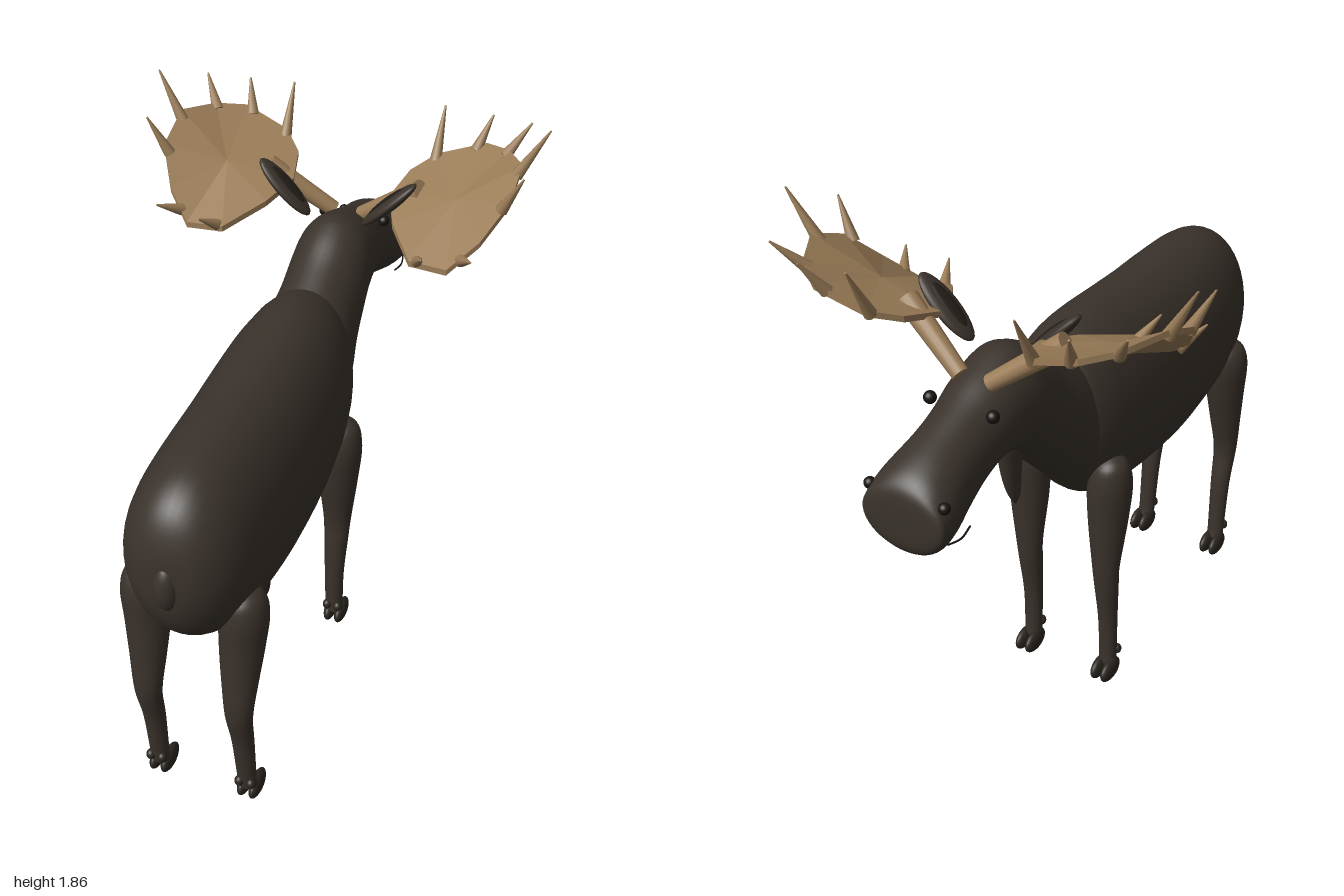
import * as THREE from 'three';

const mat = (name, color) => {
  const m = new THREE.MeshStandardMaterial({ color });
  m.name = name;
  return m;
};

// Smooth Catmull-Rom blend between rows of numbers
function blend(rows, steps) {
  const out = [];
  const at = (i) => rows[Math.min(Math.max(i, 0), rows.length - 1)];
  for (let i = 0; i < rows.length - 1; i++) {
    for (let k = 0; k < steps; k++) {
      const t = k / steps;
      out.push(rows[i].map((_, j) => {
        const [a, b, c, d] = [at(i - 1)[j], at(i)[j], at(i + 1)[j], at(i + 2)[j]];
        return b + 0.5 * t * (c - a + t * (2 * a - 5 * b + 4 * c - d + t * (3 * (b - c) + d - a)));
      }));
    }
  }
  out.push(rows[rows.length - 1]);
  return out;
}

// Skin of elliptical sections [position, x, centre, radiusX, radius2],
// stacked along falling z or falling y
function loft(sections, axis, sides = 32, steps = 5) {
  const rows = blend(sections, steps);
  const pos = [], index = [];
  rows.forEach(([p, x, c, rx, r2], i) => {
    for (let j = 0; j < sides; j++) {
      const a = (j / sides) * Math.PI * 2;
      const px = x + Math.max(rx, 0) * Math.cos(a);
      const q = Math.max(r2, 0) * Math.sin(a);
      if (axis === 'z') pos.push(px, c + q, p);
      else pos.push(px, p, c - q);
      if (i < rows.length - 1) {
        const n = (j + 1) % sides, u = i * sides, v = u + sides;
        index.push(u + j, v + j, u + n, v + j, v + n, u + n);
      }
    }
  });
  const g = new THREE.BufferGeometry();
  g.setAttribute('position', new THREE.Float32BufferAttribute(pos, 3));
  g.setIndex(index);
  g.computeVertexNormals();
  return g;
}

// Body rows given as [z, top, bottom, half width]
const trunk = (rows) =>
  loft(rows.map(([z, t, b, w]) => [z, 0, (t + b) / 2, w, (t - b) / 2]), 'z', 40);

// Tapered round bar between two points
function bar(from, to, r0, r1, sides = 12) {
  const a = new THREE.Vector3(...from), b = new THREE.Vector3(...to);
  const dir = b.clone().sub(a);
  const g = new THREE.CylinderGeometry(r1, r0, dir.length(), sides);
  g.applyQuaternion(new THREE.Quaternion().setFromUnitVectors(
    new THREE.Vector3(0, 1, 0), dir.normalize()));
  const m = a.add(b).multiplyScalar(0.5);
  return g.translate(m.x, m.y, m.z);
}

const ellipsoid = (rx, ry, rz) => new THREE.SphereGeometry(1, 24, 16).scale(rx, ry, rz);

// Antler palm: cupped plate fanned from its middle, with a rim
function palmGeometry(outline, centre, s) {
  const pos = [];
  const tri = (...pts) => {
    if (s < 0) pts.reverse();
    for (const [x, y, z] of pts) pos.push(x * s, y, z);
  };
  const low = ([x, y, z], d) => [x, y - d, z];
  const under = low(centre, 0.035);
  outline.forEach((p, i) => {
    const q = outline[(i + 1) % outline.length];
    const pl = low(p, 0.02), ql = low(q, 0.02);
    tri(centre, q, p);
    tri(under, pl, ql);
    tri(p, q, pl);
    tri(q, ql, pl);
  });
  const g = new THREE.BufferGeometry();
  g.setAttribute('position', new THREE.Float32BufferAttribute(pos, 3));
  g.computeVertexNormals();
  return g;
}

export function createModel() {
  const fur = mat('dark brown fur', 0x3a322b);
  const horn = mat('antler tan', 0x9b7d58);
  const hoofMat = mat('hoof', 0x2c2620);
  const black = mat('eye and mouth black', 0x17130f);
  const earMat = mat('inner ear', 0x241e19);

  const model = new THREE.Group();
  model.name = 'moose';
  const add = (parent, name, geo, material, x = 0, y = 0, z = 0) => {
    const m = new THREE.Mesh(geo, material);
    m.name = name;
    m.position.set(x, y, z);
    parent.add(m);
    return m;
  };

  // Barrel body, from rump to shoulder
  add(model, 'body', trunk([
    [0.98, 1.06, 1.06, 0], [0.97, 1.17, 0.95, 0.075], [0.93, 1.27, 0.855, 0.135],
    [0.86, 1.33, 0.775, 0.18], [0.76, 1.358, 0.72, 0.205], [0.6, 1.365, 0.685, 0.22],
    [0.4, 1.367, 0.66, 0.225], [0.2, 1.377, 0.67, 0.225], [0.05, 1.388, 0.69, 0.217],
    [-0.05, 1.388, 0.715, 0.205], [-0.13, 1.377, 0.775, 0.188], [-0.2, 1.345, 0.88, 0.15],
    [-0.24, 1.22, 1.0, 0.07], [-0.25, 1.1, 1.1, 0],
  ]), fur);

  // Neck, head and muzzle
  add(model, 'neckAndHead', trunk([
    [0.05, 1.15, 0.95, 0], [0, 1.22, 0.85, 0.12], [-0.1, 1.3, 0.76, 0.165],
    [-0.2, 1.348, 0.85, 0.163], [-0.3, 1.398, 0.95, 0.147], [-0.4, 1.457, 1.05, 0.14],
    [-0.48, 1.48, 1.12, 0.135], [-0.6, 1.445, 1.15, 0.125], [-0.7, 1.402, 1.122, 0.115],
    [-0.8, 1.365, 1.078, 0.12], [-0.9, 1.33, 1.045, 0.137], [-0.965, 1.295, 1.045, 0.14],
    [-0.995, 1.25, 1.085, 0.122], [-0.999, 1.17, 1.17, 0],
  ]), fur);

  add(model, 'tail', ellipsoid(0.04, 0.085, 0.045), fur, 0, 1.05, 0.955);

  // Hanging throat flap
  add(model, 'dewlap', loft([
    [1.2, 0, -0.44, 0, 0], [1.14, 0, -0.44, 0.035, 0.058], [1.06, 0, -0.443, 0.033, 0.047],
    [0.98, 0, -0.437, 0.026, 0.035], [0.92, 0, -0.427, 0.018, 0.021], [0.88, 0, -0.422, 0, 0],
  ], 'y', 20), fur);

  // Leg rows: [y, x, z, radius x, radius z]
  const legs = {
    frontLeg: [
      [0.94, 0.165, -0.1, 0, 0], [0.91, 0.165, -0.1, 0.052, 0.055],
      [0.83, 0.16, -0.098, 0.075, 0.074], [0.7, 0.155, -0.1, 0.071, 0.066],
      [0.5, 0.153, -0.11, 0.05, 0.042], [0.4, 0.153, -0.104, 0.043, 0.039],
      [0.25, 0.153, -0.092, 0.035, 0.031], [0.1, 0.155, -0.092, 0.032, 0.028],
      [0.06, 0.156, -0.095, 0.03, 0.027], [0.05, 0.156, -0.095, 0, 0],
    ],
    hindLeg: [
      [0.95, 0.16, 0.78, 0, 0], [0.92, 0.16, 0.78, 0.055, 0.06],
      [0.85, 0.16, 0.783, 0.076, 0.078], [0.73, 0.155, 0.793, 0.072, 0.067],
      [0.6, 0.153, 0.812, 0.06, 0.053], [0.45, 0.153, 0.83, 0.045, 0.04],
      [0.3, 0.153, 0.803, 0.037, 0.033], [0.1, 0.155, 0.782, 0.032, 0.028],
      [0.06, 0.156, 0.775, 0.03, 0.027], [0.05, 0.156, 0.775, 0, 0],
    ],
  };

  // Antler outline, and tines as [base, tip]
  const outline = [
    [0.2, 1.6, -0.66], [0.27, 1.635, -0.74], [0.43, 1.69, -0.765], [0.52, 1.71, -0.7],
    [0.593, 1.73, -0.57], [0.593, 1.67, -0.42], [0.53, 1.57, -0.32], [0.445, 1.49, -0.25],
    [0.32, 1.495, -0.255], [0.22, 1.535, -0.4], [0.17, 1.565, -0.53],
  ];
  const tines = [
    [[0.27, 1.615, -0.72], [0.27, 1.78, -0.81]], [[0.4, 1.665, -0.745], [0.435, 1.77, -0.815]],
    [[0.51, 1.69, -0.69], [0.575, 1.785, -0.765]], [[0.58, 1.7, -0.55], [0.67, 1.86, -0.572]],
    [[0.57, 1.645, -0.41], [0.635, 1.775, -0.385]], [[0.48, 1.51, -0.29], [0.53, 1.56, -0.205]],
    [[0.34, 1.485, -0.275], [0.375, 1.545, -0.19]],
  ];

  for (const s of [1, -1]) {
    const side = s > 0 ? 'left' : 'right';
    const flip = ([x, y, z]) => [x * s, y, z];

    // Legs with cloven hooves and dewclaws
    for (const [name, rows] of Object.entries(legs)) {
      const leg = new THREE.Group();
      leg.name = `${side} ${name}`;
      model.add(leg);
      const front = name === 'frontLeg';
      add(leg, 'limb', loft(rows.map(([y, x, z, a, b]) => [y, x * s, z, a, b]), 'y', 24), fur);
      for (const x of [0.137, 0.177]) {
        add(leg, 'hoof', ellipsoid(0.021, 0.04, 0.06), hoofMat, x * s, 0.04, front ? -0.115 : 0.75);
        add(leg, 'dewclaw', ellipsoid(0.016, 0.019, 0.017), hoofMat,
          x * s, 0.1, front ? -0.066 : 0.805);
      }
    }

    // Ears: flattened leaves leaning outward
    const ear = new THREE.Group();
    ear.name = `${side} ear`;
    ear.position.set(0.182 * s, 1.555, -0.48);
    ear.rotation.z = s * Math.PI / 4;
    model.add(ear);
    add(ear, 'outerEar', ellipsoid(0.125, 0.022, 0.05), fur);
    add(ear, 'innerEar', ellipsoid(0.085, 0.012, 0.028), earMat, 0, 0.013, 0);

    // Face details
    add(model, `${side} eye`, ellipsoid(0.02, 0.02, 0.02), black, 0.108 * s, 1.375, -0.685);
    add(model, `${side} nostril`, ellipsoid(0.018, 0.018, 0.018), black, 0.126 * s, 1.235, -0.96);
    const lip = new THREE.CatmullRomCurve3([
      new THREE.Vector3(0.115 * s, 1.092, -0.83), new THREE.Vector3(0.125 * s, 1.09, -0.89),
      new THREE.Vector3(0.115 * s, 1.098, -0.945)]);
    add(model, `${side} mouth line`, new THREE.TubeGeometry(lip, 12, 0.003, 6), black);

    // Antlers
    const antler = new THREE.Group();
    antler.name = `${side} antler`;
    model.add(antler);
    add(antler, 'beam', bar(flip([0.05, 1.43, -0.61]), flip([0.27, 1.59, -0.55]), 0.027, 0.037, 16), horn);
    add(antler, 'palm', palmGeometry(outline, [0.4, 1.605, -0.5], s), horn);
    for (const [base, tip] of tines) {
      add(antler, 'tine', bar(flip(base), flip(tip), 0.021, 0.003, 10), horn);
    }
  }
  return model;
}
